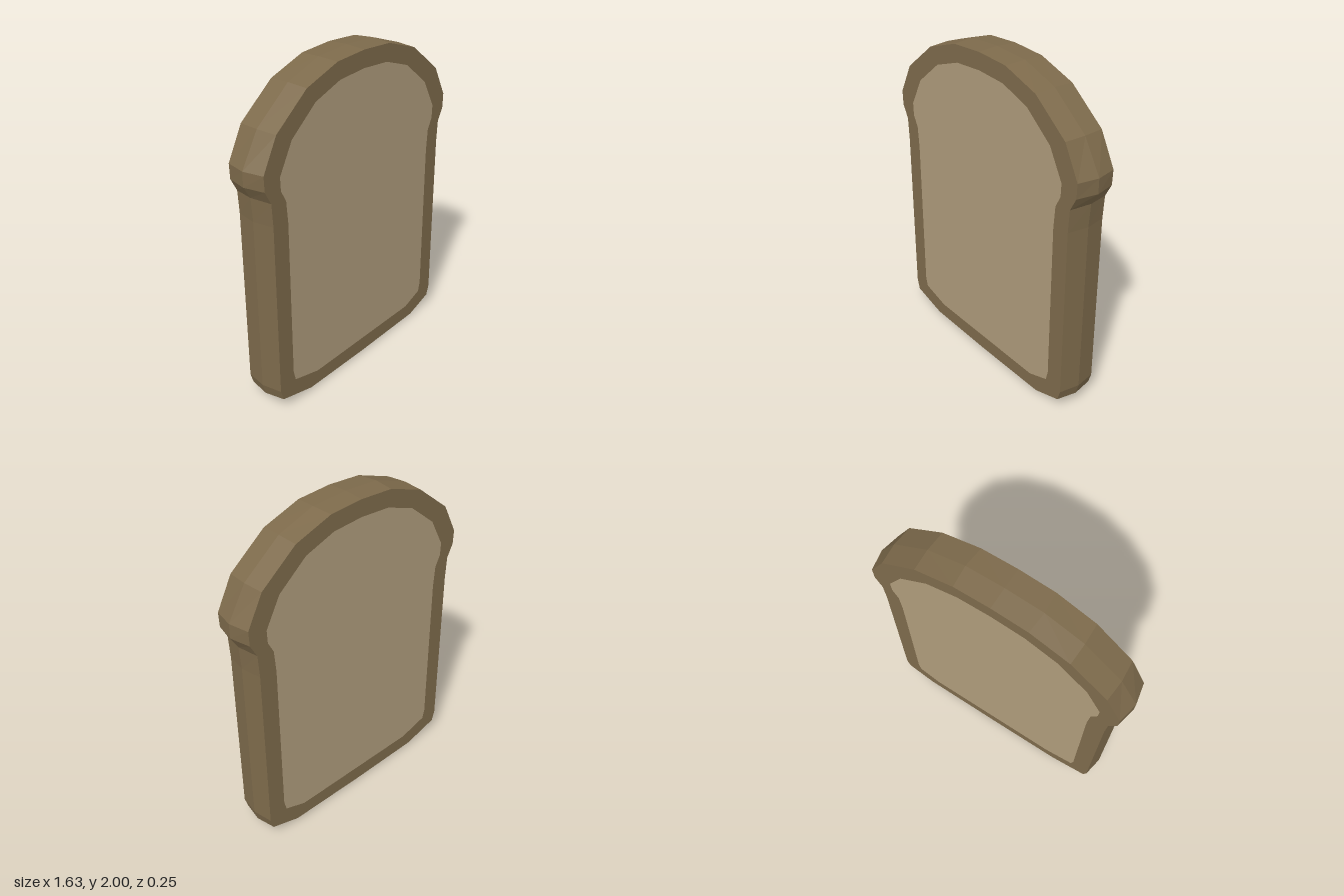
import * as THREE from 'three';

const DEPTH = 0.125; // half thickness of the slice

// Half profiles from the top centre down the +x side: [crust middle, crust face, crumb] as x, y pairs
const HALF = [
  [[0.23, 1.987], [0.22, 1.98], [0.20, 1.877]],
  [[0.465, 1.907], [0.46, 1.9], [0.395, 1.81]],
  [[0.70, 1.723], [0.69, 1.72], [0.58, 1.66]],
  [[0.815, 1.53], [0.79, 1.53], [0.675, 1.485]],
  [[0.815, 1.44], [0.787, 1.44], [0.672, 1.405]],
  [[0.77, 1.365], [0.745, 1.36], [0.637, 1.335]],
  [[0.76, 1.22], [0.737, 1.22], [0.627, 1.2]],
  [[0.76, 0.143], [0.737, 0.143], [0.627, 0.22]],
  [[0.74, 0.072], [0.717, 0.076], [0.612, 0.157]],
  [[0.55, 0.012], [0.53, 0.014], [0.47, 0.105]],
];
const TOP = [[0, 2], [0, 1.993], [0, 1.89]];
const BOTTOM = [[0, 0], [0, 0.008], [0, 0.105]];

// Full clockwise outline; the lower left corner is cut slightly longer than the right one
function outline(k) {
  const right = HALF.map((p) => p[k]);
  const left = right.map(([x, y], i) => [i === HALF.length - 1 ? 0.05 - x : -x, y]).reverse();
  return [TOP[k], ...right, BOTTOM[k], ...left];
}

// Joins successive loops with quads
function stitch(loops) {
  const pos = [];
  for (let r = 0; r < loops.length - 1; r++) {
    const a = loops[r], b = loops[r + 1], n = a.length;
    for (let i = 0; i < n; i++) {
      const j = (i + 1) % n;
      pos.push(...a[i], ...b[i], ...b[j], ...a[i], ...b[j], ...a[j]);
    }
  }
  const g = new THREE.BufferGeometry();
  g.setAttribute('position', new THREE.Float32BufferAttribute(pos, 3));
  g.computeVertexNormals();
  return g;
}

export function createModel() {
  const group = new THREE.Group();
  group.name = 'breadSlice';
  const crustMat = new THREE.MeshStandardMaterial({ color: 0x7d6a4b, flatShading: true });
  const crumbMat = new THREE.MeshStandardMaterial({ color: 0xae9b7b, flatShading: true });

  const [middle, face, crumb] = [0, 1, 2].map(outline);
  const at = (loop, z) => loop.map(([x, y]) => [x, y, z]);

  // Crust: flat border on each face and a bulging rim between them
  const crust = new THREE.Mesh(stitch([
    at(crumb, -DEPTH), at(face, -DEPTH), at(middle, 0), at(face, DEPTH), at(crumb, DEPTH),
  ]), crustMat);
  crust.name = 'crust';
  group.add(crust);

  // Crumb: flat panel flush with each face
  const crumbGeo = new THREE.ShapeGeometry(new THREE.Shape(crumb.map(([x, y]) => new THREE.Vector2(x, y))));
  for (const side of [1, -1]) {
    const geo = crumbGeo.clone();
    if (side < 0) {
      // Same outline, reversed winding for the back
      geo.setIndex(Array.from(geo.index.array).reverse());
      geo.computeVertexNormals();
    }
    const panel = new THREE.Mesh(geo, crumbMat);
    panel.position.z = side * DEPTH;
    panel.name = side > 0 ? 'frontCrumb' : 'backCrumb';
    group.add(panel);
  }
  return group;
}
